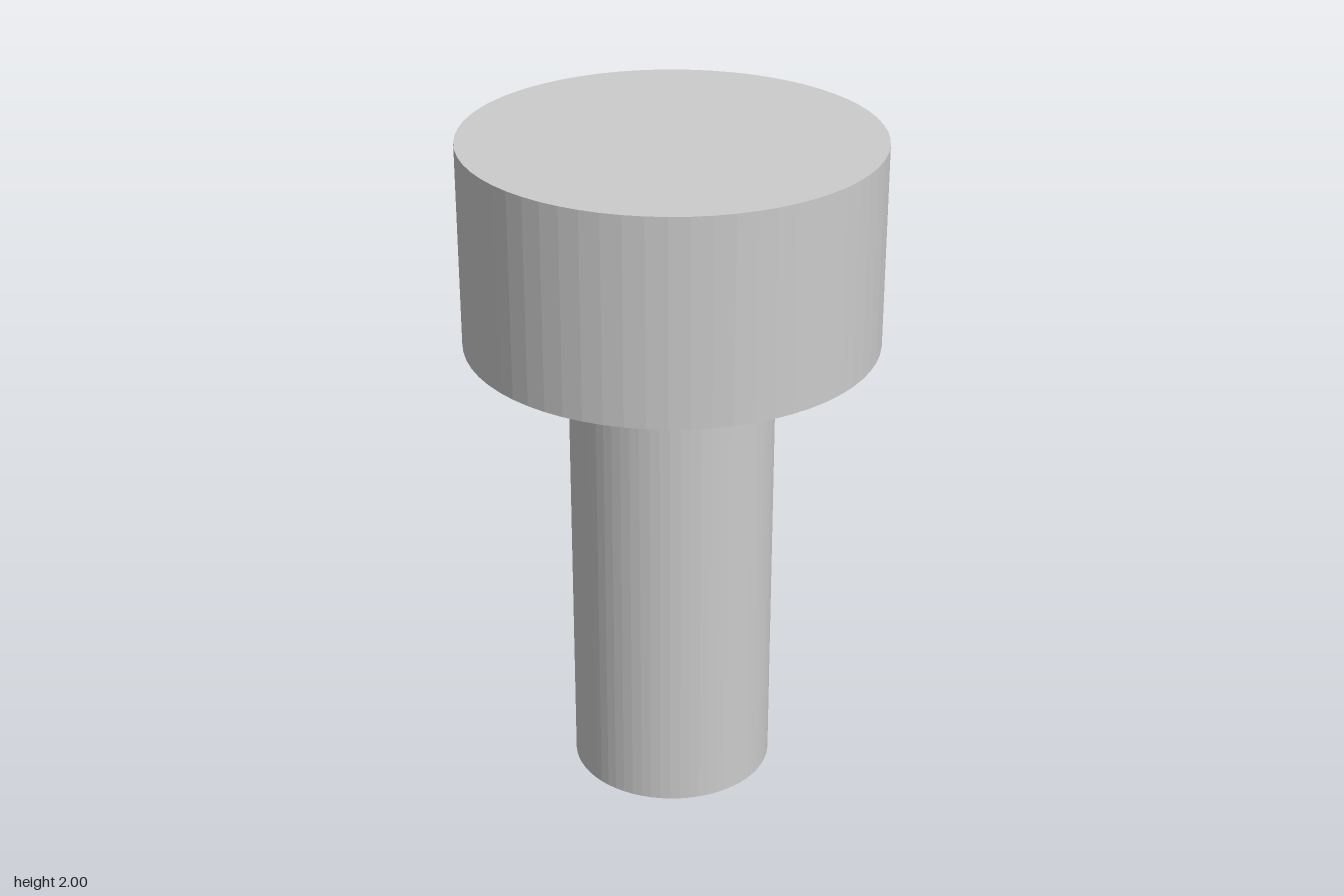
import * as THREE from 'three';

const SIDES = 64;

export function createModel() {
  const group = new THREE.Group();
  group.name = 'bolt';
  const material = new THREE.MeshStandardMaterial({ color: 0xcccccc, flatShading: true });

  // Upright solid cylinder standing between two heights
  const addCylinder = (name, radius, bottom, top) => {
    const mesh = new THREE.Mesh(
      new THREE.CylinderGeometry(radius, radius, top - bottom, SIDES),
      material
    );
    mesh.name = name;
    mesh.position.y = (bottom + top) / 2;
    group.add(mesh);
  };

  addCylinder('shank', 0.3, 0, 1.4);
  addCylinder('head', 0.6, 1.4, 2);

  return group;
}
